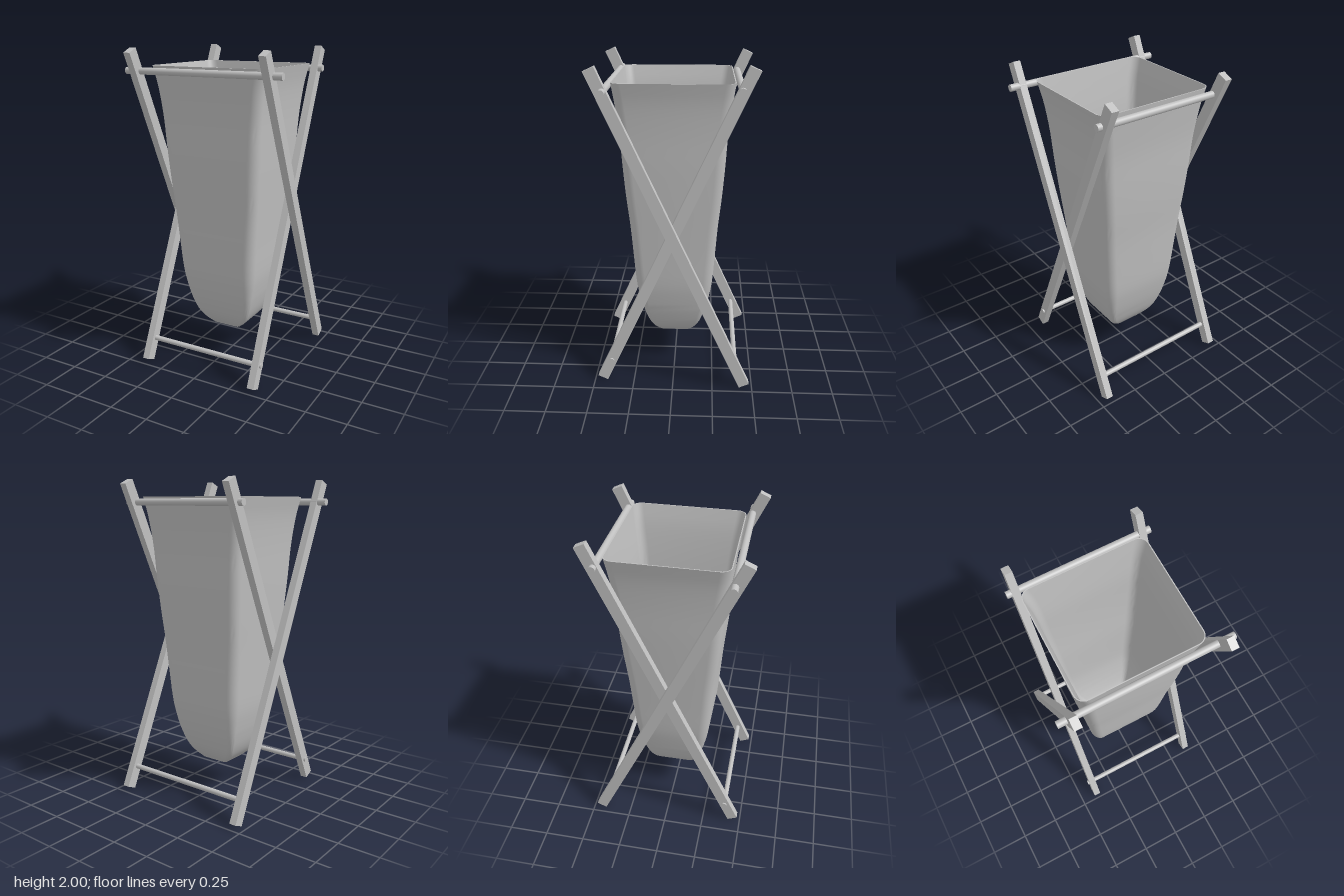
import * as THREE from 'three';
import { toCreasedNormals } from 'three/addons/utils/BufferGeometryUtils.js';

const grey = new THREE.MeshStandardMaterial({ color: 0xc0c0c0 });
grey.name = 'grey';

// Rounded rectangle loop, half sizes hx and hz, corner radius r
function ring(hx, y, hz, r, steps = 8) {
  const points = [];
  for (let q = 0; q < 4; q++) {
    const sx = q === 0 || q === 3 ? 1 : -1;
    const sz = q < 2 ? 1 : -1;
    for (let i = 0; i <= steps; i++) {
      const a = (q + i / steps) * Math.PI / 2;
      points.push([sx * (hx - r) + r * Math.cos(a), y, sz * (hz - r) + r * Math.sin(a)]);
    }
  }
  return points;
}

// Skin over consecutive rings, with a flat cap at both ends
function loft(rings) {
  const n = rings[0].length;
  const positions = rings.flat(2);
  const index = [];
  for (let k = 0; k < rings.length - 1; k++) {
    for (let j = 0; j < n; j++) {
      const a = k * n + j, b = k * n + (j + 1) % n;
      index.push(a, a + n, b, b, a + n, b + n);
    }
  }
  const last = (rings.length - 1) * n;
  const centre = rings.length * n;
  positions.push(0, rings[0][0][1], 0, 0, rings[rings.length - 1][0][1], 0);
  for (let j = 0; j < n; j++) {
    const next = (j + 1) % n;
    index.push(centre, j, next, centre + 1, last + next, last + j);
  }
  const geometry = new THREE.BufferGeometry();
  geometry.setAttribute('position', new THREE.Float32BufferAttribute(positions, 3));
  geometry.setIndex(index);
  return toCreasedNormals(geometry, 0.55);
}

function addMesh(group, name, geometry, x, y, z) {
  const mesh = new THREE.Mesh(geometry, grey);
  mesh.name = name;
  mesh.position.set(x, y, z);
  group.add(mesh);
  return mesh;
}

export function createModel() {
  const model = new THREE.Group();
  model.name = 'foldingHamper';

  // Bag: half width, height, half depth from the floor up to the rim
  const profile = new THREE.CatmullRomCurve3([
    [0.095, 0.2, 0.095], [0.145, 0.245, 0.13], [0.182, 0.3, 0.16], [0.217, 0.4, 0.195],
    [0.24, 0.5, 0.22], [0.257, 0.6, 0.238], [0.273, 0.8, 0.254], [0.289, 1.0, 0.268],
    [0.305, 1.2, 0.288], [0.32, 1.4, 0.303], [0.333, 1.6, 0.315],
    [0.353, 1.78, 0.336], [0.378, 1.895, 0.351],
  ].map(p => new THREE.Vector3(...p)));
  const levels = profile.getPoints(40);
  const wall = 0.006;
  const radius = y => 0.02 + 0.04 * Math.min(1, (y - 0.2) / 0.4);
  const outer = levels.map(p => ring(p.x, p.y, p.z, radius(p.y)));
  const inner = levels.map((p, i) =>
    ring(p.x - wall, i === 0 ? p.y + wall : p.y, p.z - wall, radius(p.y) - wall)).reverse();
  addMesh(model, 'bag', loft([...outer, ...inner]), 0, 0, 0);

  // Crossed legs: the inner pair leans back, the outer pair leans forward
  const lean = Math.atan2(0.9, 1.97);
  for (const side of [1, -1]) {
    const label = side > 0 ? 'left' : 'right';
    for (const [name, x, tilt] of [['InnerLeg', 0.383, -lean], ['OuterLeg', 0.437, lean]]) {
      const leg = addMesh(model, label + name, new THREE.BoxGeometry(0.045, 2.166, 0.067), side * x, 1, 0);
      leg.rotation.x = tilt;
    }
  }

  // Cross rods: name, radius, length, height, depth
  for (const [name, r, length, y, z] of [
    ['topFrontRod', 0.021, 1.03, 1.863, 0.38],
    ['topBackRod', 0.021, 0.87, 1.863, -0.383],
    ['bottomFrontRod', 0.016, 0.83, 0.145, 0.39],
    ['bottomBackRod', 0.016, 0.84, 0.145, -0.39],
  ]) {
    const rod = addMesh(model, name, new THREE.CylinderGeometry(r, r, length, 24), 0, y, z);
    rod.rotation.z = Math.PI / 2;
  }
  return model;
}
